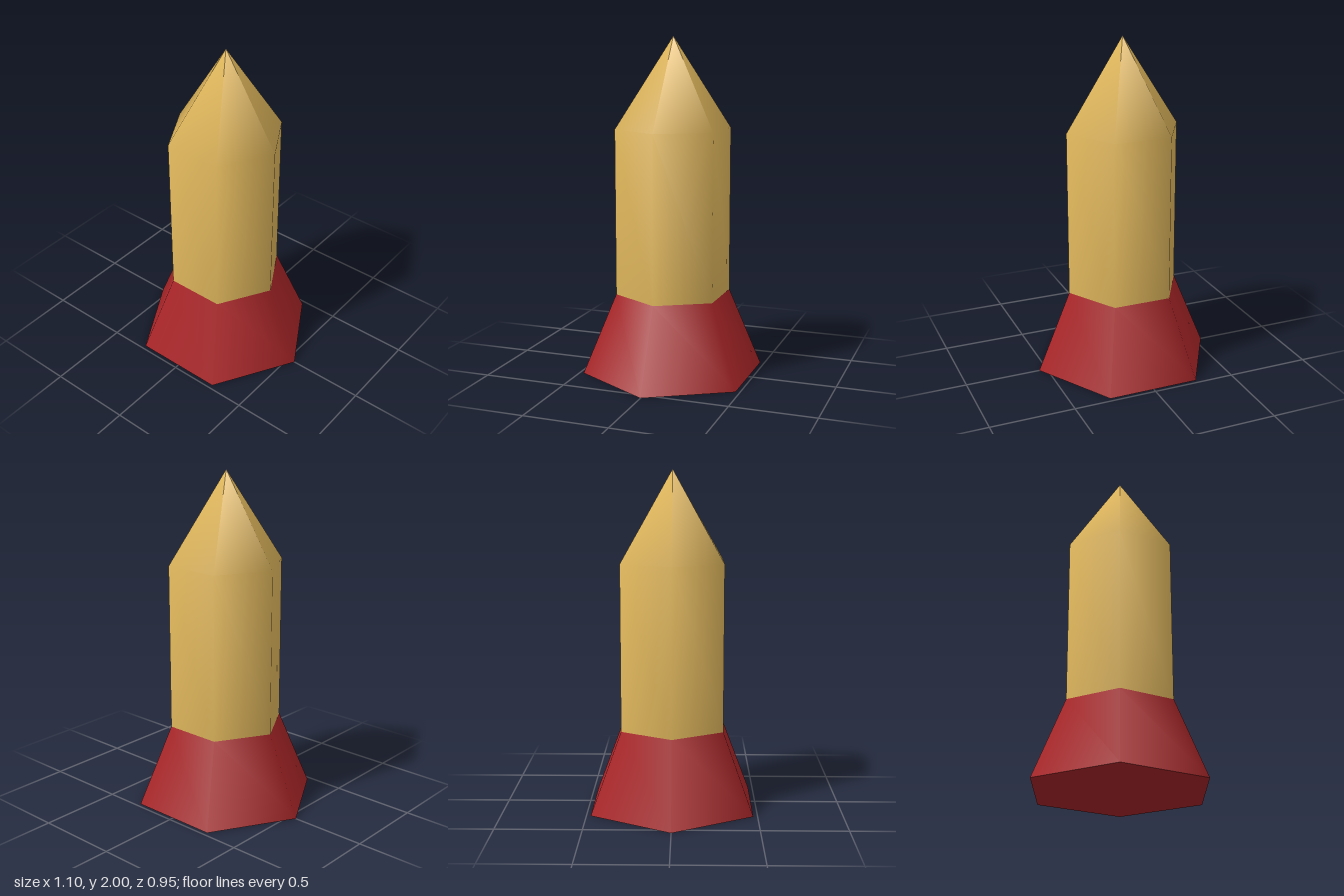
import * as THREE from 'three';

const SIDES = 6;

// Smooth-shaded hexagonal solid from a [radius, height] profile, corners on the x axis
function hexLathe(profile) {
  const points = profile.map(([r, y]) => new THREE.Vector2(r, y));
  return new THREE.LatheGeometry(points, SIDES, Math.PI / 2);
}

export function createModel() {
  const gold = new THREE.MeshStandardMaterial({ color: 0xe0b75c });
  gold.name = 'gold';
  const red = new THREE.MeshStandardMaterial({ color: 0xa82528 });
  red.name = 'red';

  const model = new THREE.Group();
  model.name = 'rocket';
  const add = (name, geometry, material) => {
    const mesh = new THREE.Mesh(geometry, material);
    mesh.name = name;
    model.add(mesh);
    return mesh;
  };

  // Straight shaft running into a pointed nose
  add('bodyAndNose', hexLathe([[0.346, 0.48], [0.346, 1.465], [0, 2]]), gold);

  // Flared skirt
  add('flaredBase', hexLathe([[0.548, 0], [0.346, 0.48]]), red);

  // Flat underside
  const underside = add('underside', new THREE.CircleGeometry(0.548, SIDES), red);
  underside.rotation.x = Math.PI / 2;

  return model;
}
